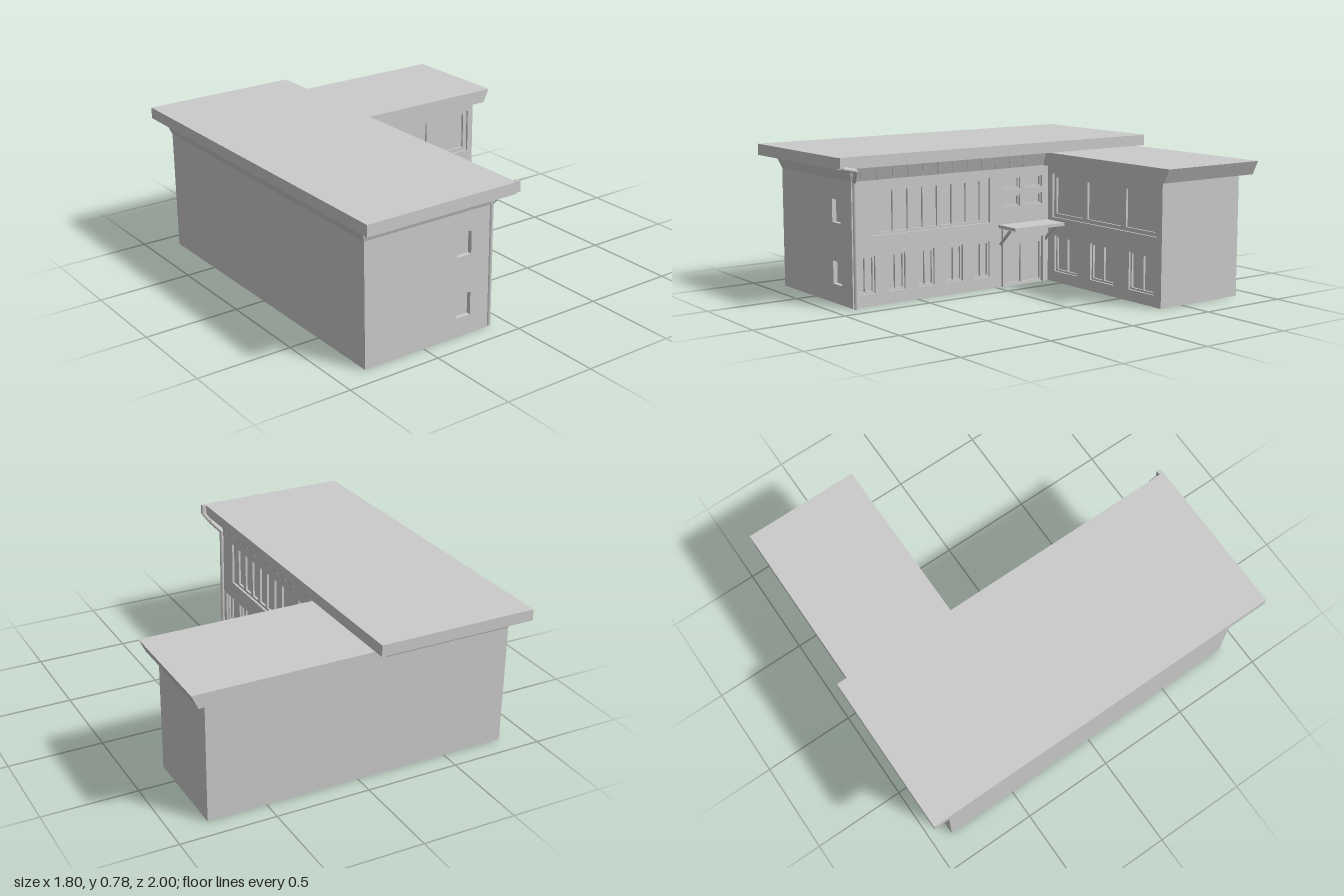
import * as THREE from 'three';

const mat = new THREE.MeshStandardMaterial({ color: 0xcccccc, side: THREE.DoubleSide });
const LAYER = 0.012; // depth of each window reveal

function add(parent, name, geo) {
  const m = new THREE.Mesh(geo, mat);
  m.name = name;
  parent.add(m);
  return m;
}

// Box given by its extents
function box(parent, name, x0, x1, y0, y1, z0, z1) {
  const g = new THREE.BoxGeometry(x1 - x0, y1 - y0, z1 - z0);
  g.translate((x0 + x1) / 2, (y0 + y1) / 2, (z0 + z1) / 2);
  return add(parent, name, g);
}

// Straight round or square bar between two points
function bar(parent, name, a, b, r, sides = 8) {
  const p = new THREE.Vector3(...a), q = new THREE.Vector3(...b);
  const d = q.clone().sub(p);
  const m = add(parent, name, new THREE.CylinderGeometry(r, r, d.length(), sides));
  m.position.copy(p).add(q).multiplyScalar(0.5);
  m.quaternion.setFromUnitVectors(new THREE.Vector3(0, 1, 0), d.normalize());
  return m;
}

function rect(Kind, [x0, x1, y0, y1]) {
  const s = new Kind();
  s.moveTo(x0, y0); s.lineTo(x1, y0); s.lineTo(x1, y1); s.lineTo(x0, y1);
  s.closePath();
  return s;
}

// Two-layer wall: wide frame openings outside, pane openings behind; face at local z = 0
function wall(name, outline, frames, panes) {
  const g = new THREE.Group();
  g.name = name;
  [['wallFace', frames], ['windowFrames', panes]].forEach(([part, holes], i) => {
    const s = rect(THREE.Shape, outline);
    s.holes = holes.map(h => rect(THREE.Path, h));
    const m = add(g, part, new THREE.ExtrudeGeometry(s, { depth: LAYER, bevelEnabled: false }));
    m.position.z = -LAYER * (i + 1);
  });
  return g;
}

// Split a frame into a row of panes
function panesOf([x0, x1, y0, y1], n, margin = 0.01) {
  const w = (x1 - x0 - margin * (n + 1)) / n;
  return Array.from({ length: n }, (_, i) => {
    const a = x0 + margin + i * (w + margin);
    return [a, a + w, y0 + margin, y1 - margin];
  });
}

export function createModel() {
  const model = new THREE.Group();
  model.name = 'building';
  const D = LAYER * 2;

  // Solid cores of the two wings
  box(model, 'mainWingCore', -0.84, -0.11 - D, 0, 0.645, -0.89, 0.89 - D);
  box(model, 'sideWingCore', -0.11 - D, 0.81, 0, 0.645, -0.89, -0.355 - D);

  // Main wing end wall with two small windows
  const small = [[-0.305, -0.22, 0.42, 0.54], [-0.305, -0.22, 0.1, 0.22]];
  const endWall = wall('mainEndWall', [-0.84, -0.11, 0, 0.645], small, small);
  endWall.position.z = 0.89;
  model.add(endWall);

  // Side wing front: one window band above, three double windows below
  const low = [-0.05, 0.255, 0.565].map(x => [x, x + 0.19, 0.06, 0.26]);
  const wingFront = wall('sideWingFront', [-0.11, 0.81, 0, 0.645],
    [[-0.07, 0.775, 0.36, 0.6], ...low],
    [[-0.05, 0.18, 0.38, 0.58], [0.215, 0.485, 0.38, 0.58], [0.525, 0.75, 0.38, 0.58],
      ...low.flatMap(f => panesOf(f, 2))]);
  wingFront.position.z = -0.355;
  model.add(wingFront);

  // Courtyard wall of the main wing; its local x runs along -z
  const lower = [-0.86, -0.68, -0.5, -0.32, -0.145].map(u => [u, u + 0.103, 0.065, 0.26]);
  const tall = Array.from({ length: 7 }, (_, i) => {
    const u = -0.71 + i * 0.0907;
    return [u, u + 0.067, 0.375, 0.585];
  });
  const stair = [0.045, 0.195].flatMap(u =>
    [0.435, 0.53].map(y => [u, u + 0.117, y, y + 0.062]));
  const door = [0.045, 0.315, 0.002, 0.255];
  const court = wall('courtyardWall', [-0.89 + D, 0.355, 0, 0.645],
    [[-0.77, -0.04, 0.36, 0.602], ...lower, ...stair, door],
    [...tall, ...lower.flatMap(f => panesOf(f, 2)), ...stair.flatMap(f => panesOf(f, 1, 0.008)),
      [0.06, 0.175, 0.012, 0.222], [0.19, 0.305, 0.012, 0.222]]);
  court.rotation.y = Math.PI / 2;
  court.position.x = -0.11;
  model.add(court);

  // Flared cornice and roof slab of the main wing
  const cornice = box(model, 'mainCornice', -0.84, -0.11, 0.645, 0.72, -0.89, 0.89).geometry;
  const c = cornice.attributes.position;
  for (let i = 0; i < c.count; i++) {
    if (c.getY(i) < 0.7) continue;
    c.setX(i, c.getX(i) < -0.4 ? -0.87 : -0.08);
    c.setZ(i, Math.sign(c.getZ(i)) * 0.915);
  }
  cornice.computeVertexNormals();
  box(model, 'mainRoof', -0.9, -0.045, 0.718, 0.778, -1, 1);

  // Side wing roof with a sloping end
  const wingRoof = box(model, 'sideWingRoof', -0.1, 0.895, 0.645, 0.718, -0.94, -0.318).geometry;
  const w = wingRoof.attributes.position;
  for (let i = 0; i < w.count; i++) {
    if (w.getY(i) < 0.7 && w.getX(i) > 0) w.setX(i, 0.86);
  }
  wingRoof.computeVertexNormals();

  // Slanted ribs under the courtyard eave
  for (let i = 0; i < 12; i++) {
    const z = 0.83 - i * 0.092;
    bar(model, 'eaveRib', [-0.11, 0.645, z], [-0.079, 0.718, z + 0.02], 0.003, 4);
  }

  // Downpipe with rain head at the roof corner
  const pipe = new THREE.Group();
  pipe.name = 'downpipe';
  model.add(pipe);
  const pts = [[-0.094, 0, 0.88], [-0.094, 0.645, 0.88], [-0.036, 0.708, 0.905], [-0.033, 0.725, 0.985]];
  for (let i = 0; i < 3; i++) bar(pipe, 'pipeSection', pts[i], pts[i + 1], 0.011);
  box(pipe, 'rainHead', -0.045, -0.022, 0.725, 0.78, 0.976, 1);

  // Entrance: side posts, lintel, canopy and diagonal braces
  const entrance = new THREE.Group();
  entrance.name = 'entrance';
  model.add(entrance);
  box(entrance, 'canopy', -0.11, 0.042, 0.325, 0.342, -0.35, -0.017);
  box(entrance, 'lintel', -0.112, -0.1, 0.255, 0.325, -0.318, -0.04);
  for (const [p, b] of [[-0.043, -0.03], [-0.318, -0.335]]) {
    box(entrance, 'doorPost', -0.112, -0.098, 0, 0.325, p - 0.006, p + 0.006);
    bar(entrance, 'canopyBrace', [-0.11, 0.235, b], [-0.015, 0.325, b], 0.011, 4);
  }
  return model;
}
